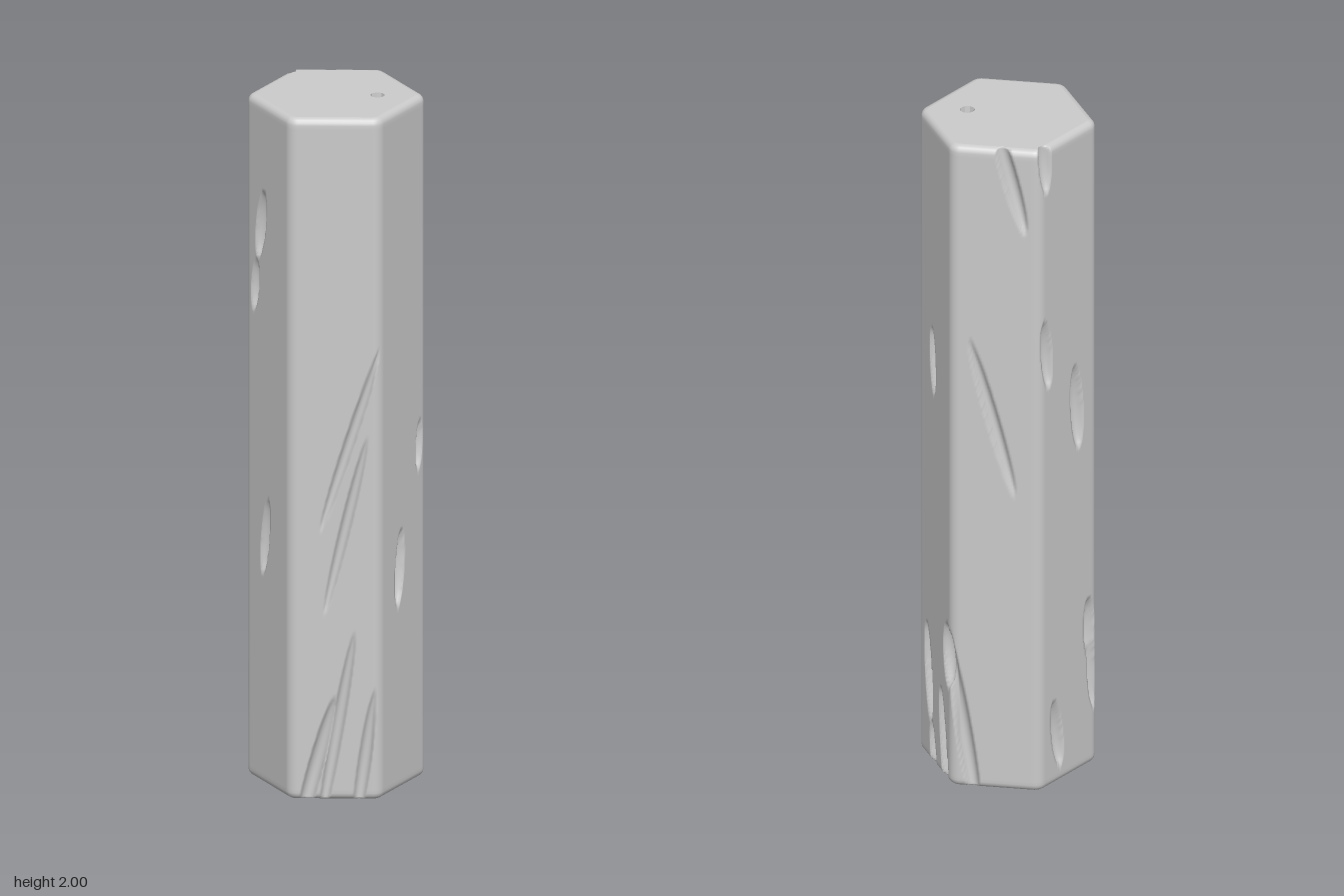
import * as THREE from 'three';

const H = 2, APOTHEM = 0.215, HALF = 0.124, CORNER = 0.037, BEVEL = 0.02;
const COLS = 60, ROWS = 180, SIDES = 6, PERIMETER = SIDES * 2 * HALF;

// Gouges per face: [u bottom, y bottom, u top, y top, width].
// Faces start at front right (+x +z) and run anticlockwise seen from above.
const GOUGES = [
  [[-0.025, 0.54, -0.006, 0.76, 0.045], [0.083, 0.91, 0.094, 1.05, 0.033]],
  [[-0.01, 1.16, -0.03, 1.36, 0.038], [-0.035, 0.13, -0.07, 0.42, 0.05], [0.005, -0.1, -0.033, 0.13, 0.042],
    [0.095, -0.12, 0.038, 0.27, 0.046], [0.105, 0.3, 0.085, 0.49, 0.06]],
  [[-0.045, -0.1, -0.14, 0.48, 0.045], [0.055, 0.92, -0.075, 1.4, 0.034], [0.085, 1.74, -0.01, 2.1, 0.042]],
  [[-0.095, 1.86, -0.107, 2.1, 0.05], [-0.085, 1.25, -0.105, 1.46, 0.045], [0.047, 1.01, 0.028, 1.27, 0.05],
    [-0.035, 0.05, -0.065, 0.26, 0.046], [0.1, 0.32, 0.088, 0.52, 0.052], [0.115, 0.17, 0.1, 0.42, 0.046]],
  [[-0.055, 1.54, -0.025, 1.74, 0.05], [-0.08, 1.38, -0.065, 1.53, 0.04], [-0.03, 0.62, 0, 0.84, 0.042]],
  [[-0.04, 0.79, 0.126, 1.32, 0.03], [-0.028, 0.55, 0.09, 1.06, 0.03], [-0.045, -0.1, 0.055, 0.49, 0.034],
    [-0.11, -0.12, 0, 0.3, 0.042], [0.053, -0.1, 0.112, 0.32, 0.036]],
].flatMap((list, face) => list.map(([u0, y0, u1, y1, w]) => {
  const length = Math.hypot(u1 - u0, y1 - y0);
  return {
    s: face * 2 * HALF + (u0 + u1) / 2, y: (y0 + y1) / 2,
    du: (u1 - u0) / length, dy: (y1 - y0) / length, half: length / 2, w: w / 2,
  };
}));

// Depth of the deepest gouge at a place on the unrolled wall
function gougeDepth(s, y) {
  let depth = 0;
  for (const g of GOUGES) {
    const p = s - g.s, q = y - g.y;
    const u = p - PERIMETER * Math.round(p / PERIMETER);
    const along = (u * g.du + q * g.dy) / g.half;
    const across = (u * g.dy - q * g.du) / g.w;
    const r = along * along + across * across;
    if (r < 1) depth = Math.max(depth, g.w * Math.pow(1 - r, 0.6));
  }
  return depth;
}

// Point and normal on the rounded hexagon
function outline(face, u) {
  const flat = HALF - CORNER * Math.tan(Math.PI / 6);
  const faceAngle = Math.PI / 6 + face * Math.PI / 3;
  const along = THREE.MathUtils.clamp(u, -flat, flat);
  const a = faceAngle + (u - along) / (HALF - flat) * Math.PI / 6;
  const inner = APOTHEM - CORNER;
  const n = [Math.sin(a), Math.cos(a)];
  return {
    x: Math.sin(faceAngle) * inner + Math.cos(faceAngle) * along + n[0] * CORNER,
    z: Math.cos(faceAngle) * inner - Math.sin(faceAngle) * along + n[1] * CORNER, n,
  };
}

// Heights and insets of the rings: bottom bevel, wall, top bevel
function wallRings() {
  const bevel = [];
  for (let i = 0; i <= 4; i++) {
    const t = i / 4 * Math.PI / 2;
    bevel.push({ y: BEVEL * (1 - Math.sin(Math.PI / 2 - t)), inset: BEVEL * (1 - Math.sin(t)) });
  }
  const rings = [...bevel];
  for (let j = 1; j < ROWS; j++) rings.push({ y: BEVEL + (H - 2 * BEVEL) * j / ROWS, inset: 0 });
  return rings.concat(bevel.reverse().map(r => ({ y: H - r.y, inset: r.inset })));
}

function buildWall() {
  const n = SIDES * COLS, rings = wallRings(), positions = [], index = [];
  rings.forEach(({ y, inset }, j) => {
    for (let i = 0; i < n; i++) {
      const face = Math.floor(i / COLS);
      const u = ((i % COLS) / COLS * 2 - 1) * HALF;
      const p = outline(face, u);
      const d = Math.max(inset, gougeDepth(face * 2 * HALF + u, y));
      positions.push(p.x - p.n[0] * d, y, p.z - p.n[1] * d);
      if (j === 0) continue;
      const k = (i + 1) % n, lo = (j - 1) * n, hi = j * n;
      index.push(lo + i, lo + k, hi + k, lo + i, hi + k, hi + i);
    }
  });
  const geometry = new THREE.BufferGeometry();
  geometry.setAttribute('position', new THREE.Float32BufferAttribute(positions, 3));
  geometry.setIndex(index);
  geometry.computeVertexNormals();
  const ring = j => Array.from({ length: n }, (_, i) => {
    const k = 3 * (j * n + i);
    return new THREE.Vector2(positions[k], positions[k + 2]);
  });
  return { geometry, bottom: ring(0), top: ring(rings.length - 1) };
}

export function createModel() {
  const group = new THREE.Group();
  const material = new THREE.MeshStandardMaterial({ color: 0xcccccc });
  const add = (name, geometry, mat = material) => {
    const mesh = new THREE.Mesh(geometry, mat);
    mesh.name = name;
    group.add(mesh);
    return mesh;
  };

  // Gouged hexagonal wall with rounded edges
  const wall = buildWall();
  add('columnWall', wall.geometry);

  // Flat bottom
  add('bottomCap', new THREE.ShapeGeometry(new THREE.Shape(wall.bottom)).rotateX(Math.PI / 2));

  // Flat top with a small round hole
  const pit = { x: 0.095, z: 0.066, r: 0.021, sides: 9 };
  const top = new THREE.Shape(wall.top.map(p => new THREE.Vector2(p.x, -p.y)));
  const rim = [];
  for (let i = 0; i < pit.sides; i++) {
    const a = i / pit.sides * Math.PI * 2;
    rim.push(new THREE.Vector2(pit.x + pit.r * Math.sin(a), -pit.z - pit.r * Math.cos(a)));
  }
  top.holes.push(new THREE.Path(rim));
  add('topCap', new THREE.ShapeGeometry(top).rotateX(-Math.PI / 2)).position.y = H;

  // Tapering pit below the hole
  const profile = [[0, -0.08], [0.011, -0.065], [0.018, -0.035], [pit.r, 0]].map(p => new THREE.Vector2(...p));
  const pitMaterial = new THREE.MeshStandardMaterial({ color: 0xcccccc, flatShading: true, side: THREE.DoubleSide });
  add('topPit', new THREE.LatheGeometry(profile, pit.sides), pitMaterial).position.set(pit.x, H, pit.z);

  return group;
}
